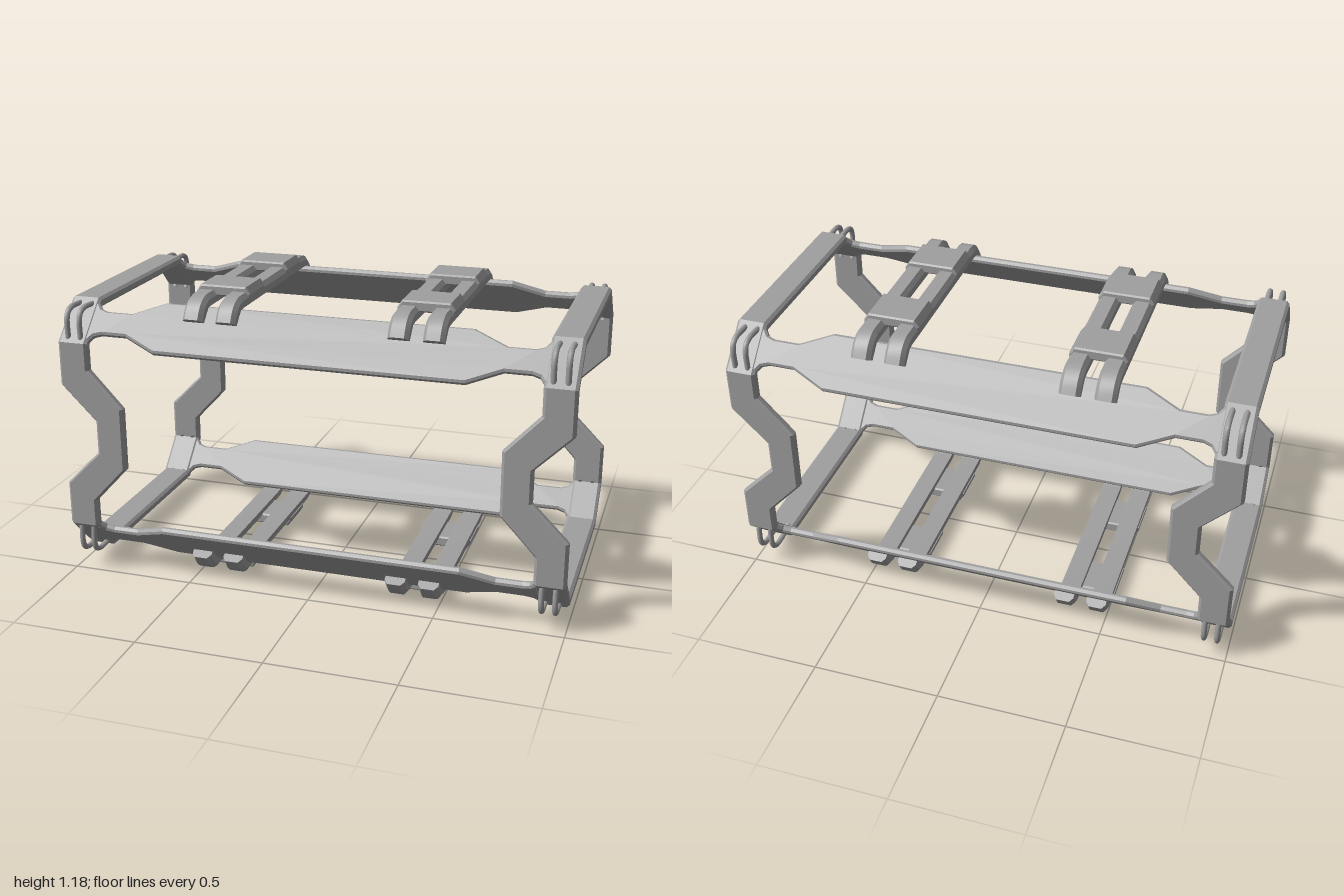
import * as THREE from 'three';
import { toCreasedNormals } from 'three/addons/utils/BufferGeometryUtils.js';

// Skin a row of matching cross-sections (arrays of [x, y, z])
function loft(sections, closed) {
  const n = sections[0].length, m = sections.length, idx = [];
  for (let i = 0; i < (closed ? m : m - 1); i++) {
    for (let j = 0; j < n; j++) {
      const k = (j + 1) % n, p = i * n, q = ((i + 1) % m) * n;
      idx.push(p + j, p + k, q + k, p + j, q + k, q + j);
    }
  }
  if (!closed) {
    const e = (m - 1) * n;
    for (let j = 1; j < n - 1; j++) idx.push(0, j + 1, j, e, e + j, e + j + 1);
  }
  const g = new THREE.BufferGeometry();
  g.setAttribute('position', new THREE.Float32BufferAttribute(sections.flat(2), 3));
  g.setIndex(idx);
  return toCreasedNormals(g, 0.4);
}

// Eight-sided hoop whose upright sides kink inward at mid height
function endFrameGeometry() {
  const ramp = (d, a, b, x0, x1) => THREE.MathUtils.mapLinear(THREE.MathUtils.clamp(d, a, b), a, b, x0, x1);
  const O = 0.526, OC = 0.38, I = 0.486, IC = 0.367;
  const kinks = [0.27, 0.205, 0.125, 0.065, -0.065, -0.125, -0.205, -0.27];
  // outer z, outer y, inner z, inner y
  const half = [
    [-OC, O, -IC, I], [OC, O, IC, I], [O, OC, I, IC],
    ...kinks.map((y) => [O, y, I, y]), [O, -OC, I, -IC],
  ];
  const path = [...half, ...half.map((p) => p.map((v) => -v))];
  const sections = path.map(([oz, oy, iz, iy]) => {
    const d = Math.abs(oy);
    const xi = ramp(d, 0.125, 0.27, 0.742, 0.877), xo = ramp(d, 0.065, 0.205, 0.858, 0.998);
    const b = 0.011, c = 0.25;
    const ring = [[xi + b, 0], [xo - b, 0], [xo, c], [xo, 1 - c], [xo - b, 1], [xi + b, 1], [xi, 1 - c], [xi, c]];
    return ring.map(([x, v]) => [x, iy + (oy - iy) * v, iz + (oz - iz) * v]);
  });
  return loft(sections, true);
}

// Long bevelled plate, wide in the middle, necked and flared at the ends
function railGeometry() {
  const edge = [[0.6, 0.11], [0.73, 0.05], [0.83, 0.05], [0.86, 0.06], [0.878, 0.085], [0.9, 0.085]];
  const top = [...edge.map(([x, y]) => [-x, y]).reverse(), ...edge];
  const outline = [...top, ...top.map(([x, y]) => [-x, -y])];
  const g = new THREE.ExtrudeGeometry(new THREE.Shape(outline.map((p) => new THREE.Vector2(...p))), {
    depth: 0.014, bevelThickness: 0.008, bevelSize: 0.008, bevelOffset: -0.008, bevelSegments: 1,
  });
  return g.translate(0, 0, 0.616);
}

// Handle bar with chamfered top, curling down over the rails
function handleBarGeometry() {
  const z0 = 0.352, y0 = 0.548, R = 0.085, end = Math.PI / 3, path = [];
  for (let i = 0; i <= 6; i++) {
    const a = (end * i) / 6;
    path.push([z0 + R * Math.sin(a), y0 - R + R * Math.cos(a), a]);
  }
  const [lz, ly] = path[6];
  path.push([lz + 0.028 * Math.cos(end), ly - 0.028 * Math.sin(end), end]);
  const full = [...path.map(([z, y, a]) => [-z, y, -a]).reverse(), ...path];
  const profile = [[-0.04, -0.0225], [0.04, -0.0225], [0.04, 0.004], [0.026, 0.0225], [-0.026, 0.0225], [-0.04, 0.004]];
  return loft(full.map(([z, y, a]) => profile.map(([x, h]) => [x, y + h * Math.cos(a), z + h * Math.sin(a)])), false);
}

// Clamp block bridging a pair of handle bars
function clampGeometry() {
  const pts = [[-0.11, 0.547], [0.11, 0.547], [0.11, 0.562], [0.092, 0.589], [-0.092, 0.589], [-0.11, 0.562]];
  const b = 0.006;
  const g = new THREE.ExtrudeGeometry(new THREE.Shape(pts.map((p) => new THREE.Vector2(...p))), {
    depth: 0.165 - 2 * b, bevelThickness: b, bevelSize: b, bevelOffset: -b, bevelSegments: 1,
  });
  return g.translate(0, 0, -0.0825 + b);
}

// Wire staple that spans a frame corner
function wireGeometry() {
  const side = [[0.488, 0.355], [0.503, 0.385], [0.507, 0.42], [0.507, 0.465], [0.498, 0.49]];
  const pts = [...side, ...side.map(([z, y]) => [y, z]).reverse()];
  const curve = new THREE.CatmullRomCurve3(pts.map(([z, y]) => new THREE.Vector3(0, y, z)));
  return new THREE.TubeGeometry(curve, 28, 0.011, 8);
}

export function createModel() {
  const model = new THREE.Group();
  model.name = 'transportFrame';
  const grey = new THREE.MeshStandardMaterial({ color: 0xa0a0a0 });
  grey.name = 'grey metal';

  // Everything is laid out around the long axis, at mid height
  const body = new THREE.Group();
  body.name = 'frameBody';
  body.position.y = 0.6;
  model.add(body);

  const add = (parent, name, geometry, x = 0, y = 0, z = 0) => {
    const mesh = new THREE.Mesh(geometry, grey);
    mesh.name = name;
    mesh.position.set(x, y, z);
    parent.add(mesh);
    return mesh;
  };

  // End hoops
  const hoop = endFrameGeometry();
  add(body, 'leftEndFrame', hoop);
  add(body, 'rightEndFrame', hoop).rotation.y = Math.PI;

  // Four corner rails with wire staples at both ends
  const rail = railGeometry(), wire = wireGeometry();
  for (let i = 0; i < 4; i++) {
    const corner = new THREE.Group();
    corner.name = 'corner' + (i + 1);
    corner.rotation.x = (i * Math.PI) / 2;
    body.add(corner);
    add(corner, 'rail', rail).rotation.x = -Math.PI / 4;
    for (const x of [-0.96, -0.908, 0.908, 0.96]) add(corner, 'wireStaple', wire, x);
  }

  // Twin-bar handles on the top and the bottom
  const bar = handleBarGeometry(), clamp = clampGeometry();
  for (const face of ['top', 'bottom']) {
    const handles = new THREE.Group();
    handles.name = face + 'Handles';
    if (face === 'bottom') handles.rotation.z = Math.PI;
    body.add(handles);
    for (const x of [-0.4, 0.4]) {
      for (const dx of [-0.066, 0.066]) add(handles, 'handleBar', bar, x + dx);
      for (const z of [-0.213, 0.213]) add(handles, 'handleClamp', clamp, x, 0, z);
    }
  }
  return model;
}
